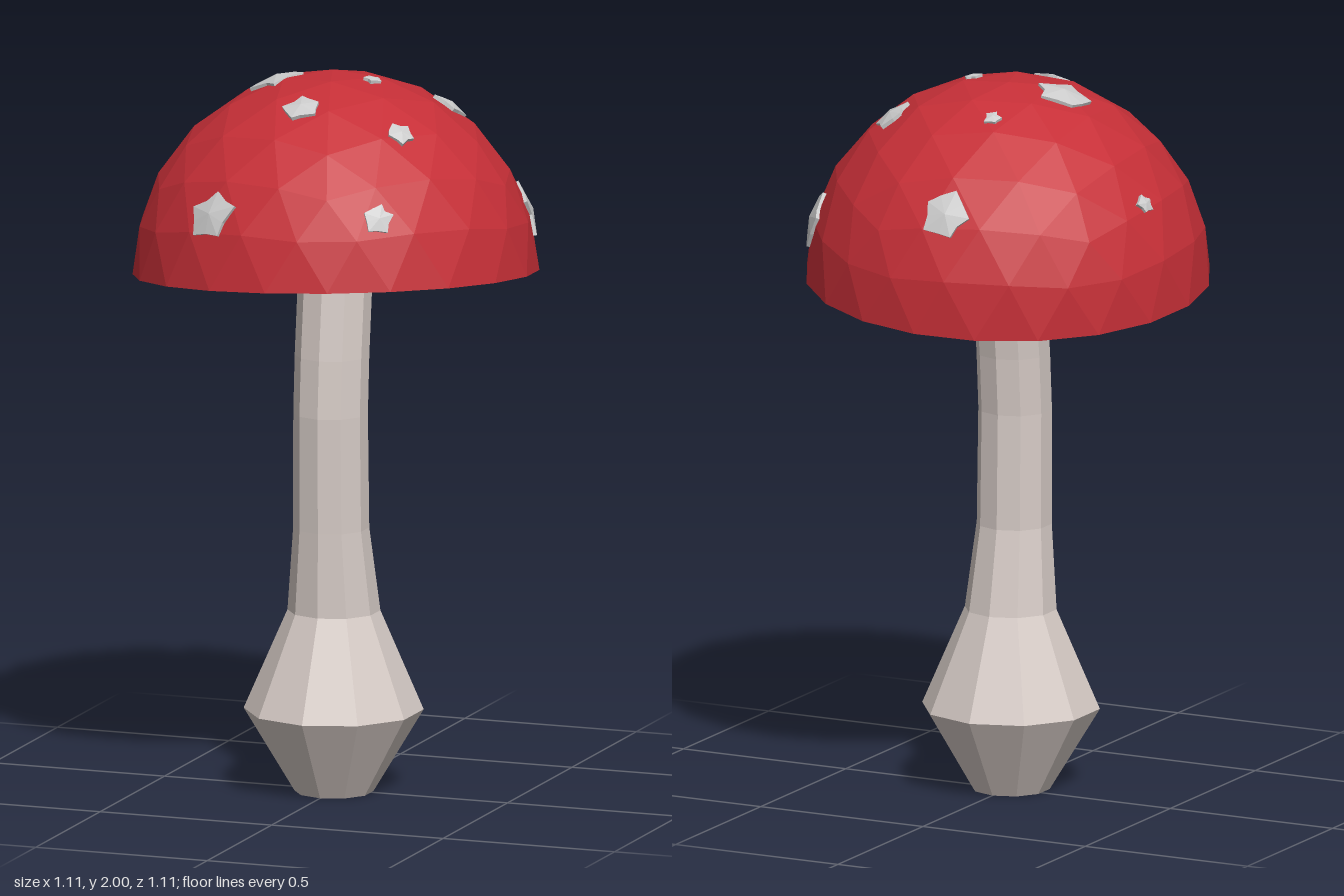
import * as THREE from 'three';

const CAP_R = 0.556;
const CAP_Y = 1.444;

const flat = (color) => new THREE.MeshStandardMaterial({ color, flatShading: true });

function addMesh(parent, name, geometry, material) {
  const mesh = new THREE.Mesh(geometry, material);
  mesh.name = name;
  parent.add(mesh);
  return mesh;
}

function fromPositions(positions, index) {
  const g = new THREE.BufferGeometry();
  g.setAttribute('position', new THREE.Float32BufferAttribute(positions, 3));
  if (index) g.setIndex(index);
  g.computeVertexNormals();
  return g;
}

// Upper half of an icosphere with a vertex at the pole
function domeGeometry() {
  const ico = new THREE.IcosahedronGeometry(CAP_R, 3);
  ico.rotateZ(Math.atan2(1, (1 + Math.sqrt(5)) / 2));
  ico.rotateY(Math.PI);
  const p = ico.attributes.position;
  const kept = [];
  for (let i = 0; i < p.count; i += 3) {
    if (p.getY(i) + p.getY(i + 1) + p.getY(i + 2) < 0.001) continue;
    for (let k = i; k < i + 3; k++) kept.push(p.getX(k), p.getY(k), p.getZ(k));
  }
  return fromPositions(kept);
}

// Ten-sided stalk lofted through rings of [y, radius, z offset]
function stalkGeometry() {
  const rings = [
    [0, 0.108, 0.016], [0.23, 0.246, 0.018], [0.505, 0.127, 0.016], [0.74, 0.104, 0.037],
    [1.06, 0.102, 0.042], [1.22, 0.102, 0.031], [1.5, 0.102, -0.002],
  ];
  const g = new THREE.CylinderGeometry(1, 1, 1, 10, rings.length - 1);
  const p = g.attributes.position;
  for (let i = 0; i < p.count; i++) {
    const [y, r, z] = rings[Math.round((p.getY(i) + 0.5) * (rings.length - 1))];
    p.setXYZ(i, p.getX(i) * r, y, p.getZ(i) * r + z);
  }
  g.computeVertexNormals();
  return g;
}

// Small seeded random generator
function seeded(seed) {
  let s = seed;
  return () => (s = (s * 16807) % 2147483647) / 2147483647;
}

// Ragged shallow patch lying on the cap, with a skirt sunk into it
function spotGeometry(x, z, size, rand) {
  const n = 10;
  const dir = new THREE.Vector3(x, Math.sqrt(CAP_R * CAP_R - x * x - z * z), z).normalize();
  const turn = new THREE.Quaternion().setFromUnitVectors(new THREE.Vector3(0, 1, 0), dir);
  const start = rand() * Math.PI * 2;
  const points = [dir.clone().multiplyScalar(CAP_R + 0.004 + size * 0.09)];
  const index = [];
  for (let i = 0; i < n; i++) {
    const a = start + (i + 0.4 * (rand() - 0.5)) / n * Math.PI * 2;
    const r = size * (i % 2 ? 0.62 + 0.25 * rand() : 0.9 + 0.25 * rand());
    const d = new THREE.Vector3(Math.cos(a) * r, CAP_R, Math.sin(a) * r).normalize().applyQuaternion(turn);
    points.push(d.clone().multiplyScalar(CAP_R + 0.002), d.clone().multiplyScalar(CAP_R - 0.02));
    const top = 1 + 2 * i;
    const next = 1 + 2 * ((i + 1) % n);
    index.push(0, next, top, top, next, next + 1, top, next + 1, top + 1);
  }
  return fromPositions(points.flatMap((v) => v.toArray()), index);
}

export function createModel() {
  const model = new THREE.Group();
  model.name = 'toadstool';

  addMesh(model, 'stalk', stalkGeometry(), flat(0xd6cbc6));

  // Slightly tilted cap with a flat underside
  const cap = new THREE.Group();
  cap.name = 'cap';
  cap.position.y = CAP_Y;
  cap.rotation.set(-0.09, 0, 0.05);
  model.add(cap);
  const red = flat(0xc62f37);
  addMesh(cap, 'capDome', domeGeometry(), red);
  addMesh(cap, 'capUnderside', new THREE.CircleGeometry(CAP_R, 20).rotateX(Math.PI / 2), red);

  // Spots as [x, z, size]
  const spots = new THREE.Group();
  spots.name = 'spots';
  spots.position.y = CAP_Y;
  model.add(spots);
  const grey = flat(0xcccccc);
  const rand = seeded(77);
  [
    [-0.17, 0, 0.08], [-0.06, -0.48, 0.07], [-0.075, -0.235, 0.025], [0.27, -0.17, 0.054],
    [0.47, -0.25, 0.078], [-0.475, -0.1, 0.027], [0.105, -0.005, 0.025], [-0.015, 0.23, 0.053],
    [0.265, 0.2, 0.041], [0.28, 0.41, 0.042], [-0.19, 0.465, 0.07],
  ].forEach(([x, z, size]) => addMesh(spots, 'spot', spotGeometry(x, z, size, rand), grey));

  return model;
}
